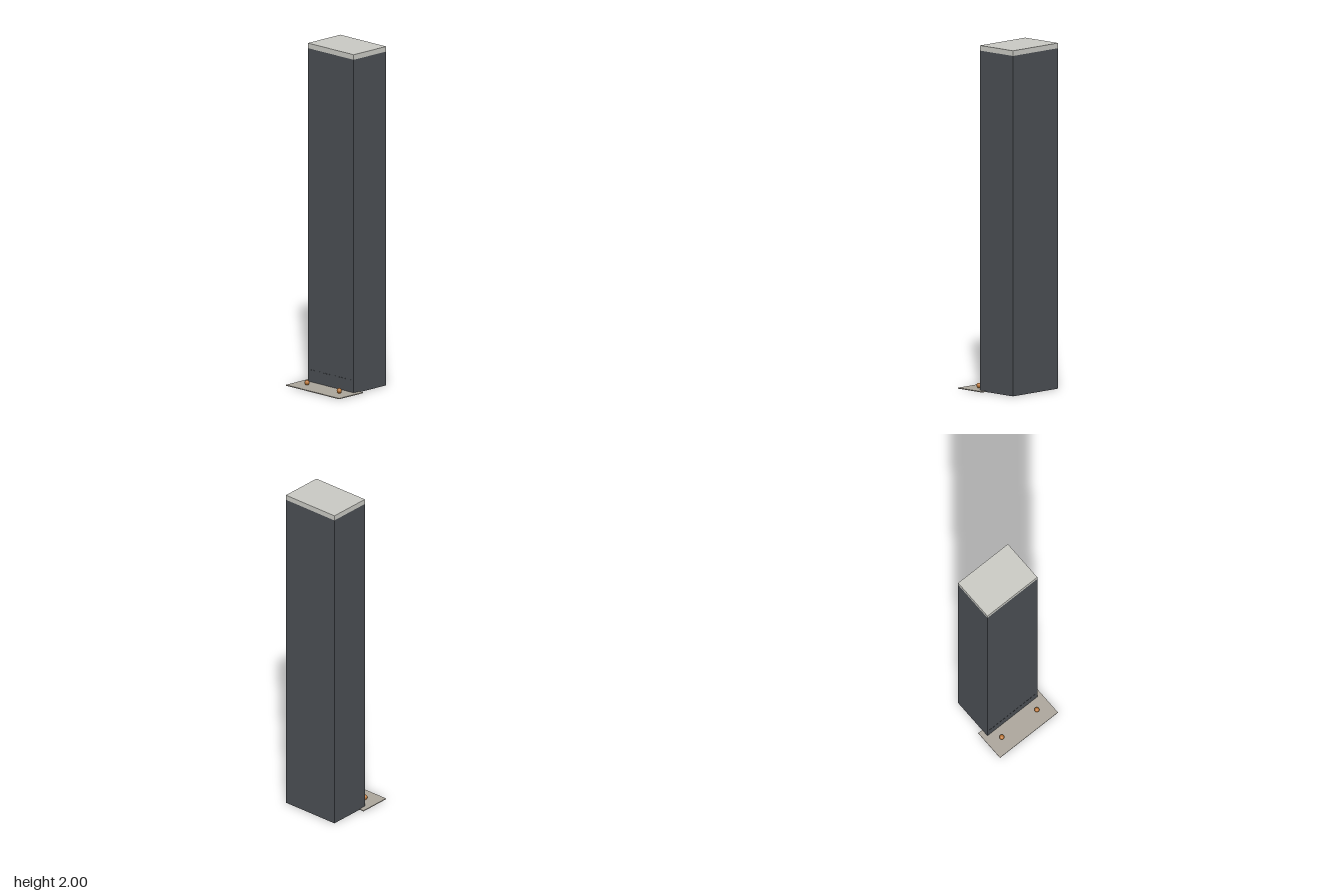
import * as THREE from 'three';

export function createModel() {
  const group = new THREE.Group();
  const material = (name, color) => {
    const m = new THREE.MeshStandardMaterial({ color });
    m.name = name;
    return m;
  };
  const slate = material('slate grey', 0x4a4e53);
  const stone = material('pale stone', 0xc8c8c2);
  const paving = material('warm grey', 0xaaa49a);
  const copper = material('copper', 0xb87333);

  const add = (name, geometry, mat, x, y, z) => {
    const mesh = new THREE.Mesh(geometry, mat);
    mesh.name = name;
    mesh.position.set(x, y, z);
    group.add(mesh);
  };
  // Box given by its width, y range and z range
  const box = (name, mat, width, y0, y1, z0, z1, x = 0) =>
    add(name, new THREE.BoxGeometry(width, y1 - y0, z1 - z0), mat, x, (y0 + y1) / 2, (z0 + z1) / 2);

  // Tall shaft with a thin slab on top
  box('shaft', slate, 0.37, 0, 1.97, -0.206, 0.056);
  box('cap', stone, 0.37, 1.97, 2, -0.206, 0.056);

  // Thin plate at the foot of the front
  box('basePlate', paving, 0.43, 0, 0.005, 0.01, 0.204);

  // Row of fine raised dashes low on the front
  for (let i = 0; i < 14; i++) {
    box('frontDash', slate, 0.012, 0.074, 0.078, 0.056, 0.058, (i - 6.5) * 0.025);
  }

  // Pair of round studs on the plate
  for (const side of [-1, 1]) {
    add('studStem', new THREE.CylinderGeometry(0.009, 0.009, 0.012, 16), copper, side * 0.13, 0.008, 0.118);
    add('stud', new THREE.SphereGeometry(0.0145, 20, 14), copper, side * 0.13, 0.0185, 0.118);
  }

  return group;
}
